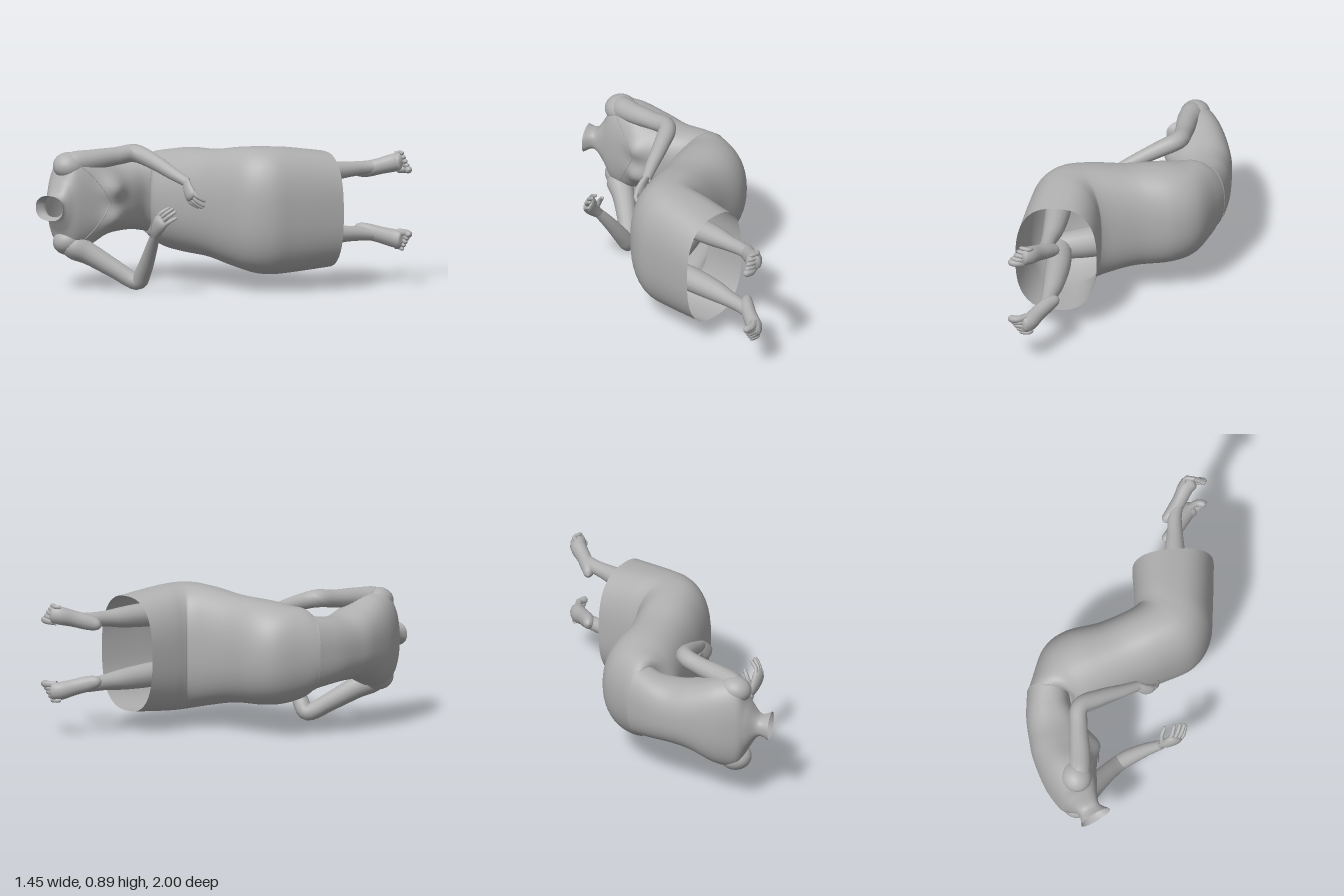
import * as THREE from 'three';

const V = (x, y, z) => new THREE.Vector3(x, y, z);
const MID = 0.525; // height of the body's plane of symmetry

// smooth interpolation through a list of equal-length rows
function rowAt(rows, u) {
  const i = Math.min(Math.floor(u), rows.length - 2), t = u - i;
  const r = k => rows[Math.max(0, Math.min(rows.length - 1, k))];
  return rows[i].map((_, k) => {
    const a = r(i - 1)[k], b = r(i)[k], c = r(i + 1)[k], d = r(i + 2)[k];
    return b + 0.5 * t * (c - a + t * (2 * a - 5 * b + 4 * c - d + t * (3 * (b - c) + d - a)));
  });
}

// grid of rings closed around, open at the ends
function ringSurface(point, rings, sides) {
  const pos = [], idx = [];
  for (let i = 0; i <= rings; i++)
    for (let j = 0; j < sides; j++) pos.push(...point(i / rings, j / sides * Math.PI * 2).toArray());
  for (let i = 0; i < rings; i++)
    for (let j = 0; j < sides; j++) {
      const a = i * sides + j, b = i * sides + (j + 1) % sides;
      idx.push(a, b, a + sides, b, b + sides, a + sides);
    }
  const g = new THREE.BufferGeometry();
  g.setAttribute('position', new THREE.Float32BufferAttribute(pos, 3));
  g.setIndex(idx);
  g.computeVertexNormals();
  return g;
}

// body section row: back x, back z, front x, front z, low y, high y
function bodyPoint(rows, u, angle, power, grow = 0) {
  const [ax, az, bx, bz, lo, hi] = rowAt(rows, u);
  const pw = v => Math.sign(v) * Math.abs(v) ** (2 / power);
  const c = pw(Math.cos(angle)) * (1 + grow) / 2, s = pw(Math.sin(angle)) * (1 + grow) / 2;
  return V((ax + bx) / 2 + (bx - ax) * c, (lo + hi) / 2 + (hi - lo) * s, (az + bz) / 2 + (bz - az) * c);
}

// tapered limb through points [x, y, z, radius], optionally squashed along a normal
function limb(points, normal = null, flat = 1, sides = 14) {
  const n = points.length - 1, rings = n * 5;
  const centre = u => V(...rowAt(points, u).slice(0, 3));
  const ref = normal || V(0.31, 0.2, 0.93).normalize();
  return ringSurface((t, a) => {
    const u = t * n, p = centre(u);
    const dir = centre(Math.min(n, u + 0.05)).sub(centre(Math.max(0, u - 0.05))).normalize();
    const side = dir.clone().cross(ref).normalize(), up = side.clone().cross(dir);
    const r = Math.max(0.001, rowAt(points, u)[3]);
    return p.addScaledVector(side, r * Math.cos(a)).addScaledVector(up, r * flat * Math.sin(a));
  }, rings, sides);
}

const TORSO = [
  [-0.54, 0.995, -0.345, 0.935, 0.445, 0.60],
  [-0.54, 0.92, -0.40, 0.89, 0.46, 0.595],
  [-0.60, 0.865, -0.40, 0.83, 0.37, 0.69],
  [-0.645, 0.81, -0.385, 0.76, 0.25, 0.81],
  [-0.70, 0.68, -0.365, 0.64, 0.245, 0.82],
  [-0.73, 0.50, -0.35, 0.52, 0.31, 0.77],
  [-0.725, 0.37, -0.38, 0.37, 0.325, 0.735],
  [-0.71, 0.23, -0.42, 0.24, 0.32, 0.74],
  [-0.67, 0.08, -0.42, 0.17, 0.30, 0.76]
];
const SKIRT = [
  [-0.675, 0.10, -0.41, 0.18, 0.30, 0.76],
  [-0.62, 0.00, -0.38, 0.225, 0.25, 0.80],
  [-0.51, -0.17, -0.33, 0.25, 0.21, 0.82],
  [-0.36, -0.24, -0.22, 0.23, 0.19, 0.84],
  [-0.15, -0.24, 0.00, 0.18, 0.18, 0.85],
  [0.02, -0.265, 0.20, 0.145, 0.145, 0.88],
  [0.10, -0.29, 0.40, 0.09, 0.115, 0.895],
  [0.11, -0.31, 0.52, -0.03, 0.105, 0.895],
  [0.12, -0.38, 0.575, -0.20, 0.11, 0.885],
  [0.15, -0.565, 0.65, -0.49, 0.13, 0.85]
];

// torso with the bust swelling out of the chest
function torsoPoint(u, angle, grow = 0) {
  const p = bodyPoint(TORSO, u, angle, 2.4, grow);
  const high = (u - 4.9) / 0.65, out = (Math.abs(p.y - MID) - 0.105) / 0.08;
  p.x += 0.045 * Math.max(0, Math.cos(angle)) * Math.exp(-high * high - out * out);
  return p;
}
const skirtPoint = (u, angle, grow = 0) => bodyPoint(SKIRT, u, angle, 2.05 + 0.06 * u, grow);

export function createModel() {
  const grey = new THREE.MeshStandardMaterial({ color: 0xb0b0b0, side: THREE.DoubleSide });
  grey.name = 'plain grey';
  const model = new THREE.Group();
  model.name = 'recliningFigure';
  const add = (name, geometry, parent = model) => {
    const m = new THREE.Mesh(geometry, grey);
    m.name = name;
    parent.add(m);
    return m;
  };

  // body and dress
  add('torso', ringSurface((t, a) => torsoPoint(t * (TORSO.length - 1), a), 80, 72));
  add('skirt', ringSurface((t, a) => skirtPoint(t * (SKIRT.length - 1), a), 60, 48));
  add('waistSeam', ringSurface((t, a) => skirtPoint(t * 0.25, a, 0.02 * Math.sin(t * Math.PI)), 6, 48));
  for (const side of [1, -1]) {
    const shoulder = add('shoulder', new THREE.SphereGeometry(1, 28, 20));
    shoulder.position.set(-0.515, MID + side * 0.235 + 0.003, 0.755);
    shoulder.scale.set(0.095, 0.085, 0.105);
    shoulder.rotation.z = side * -0.25;
  }

  // V-shaped neckline edge lying on the chest
  const neckline = [];
  for (let i = -12; i <= 12; i++) {
    const k = Math.abs(i) / 12;
    neckline.push(torsoPoint(4.6 - 2 * k, Math.sign(i) * k * 1.35, 0.003));
  }
  add('neckline', new THREE.TubeGeometry(new THREE.CatmullRomCurve3(neckline), 60, 0.003, 6));

  // hand: palm, four curled fingers and a thumb
  function hand(name, wrist, dir, across, size) {
    const g = new THREE.Group();
    g.name = name;
    const front = V(0, 0, 1);
    const at = (d, s, z) => wrist.clone().addScaledVector(dir, d * size).addScaledVector(across, s * size).add(V(0, 0, z * size)).toArray();
    add('palm', limb([[...at(-0.02, 0, 0), 0.028], [...at(0.04, 0, 0.012), 0.042 * size],
      [...at(0.1, 0, 0.015), 0.05 * size], [...at(0.125, 0, 0.008), 0.036 * size], [...at(0.13, 0, 0.006), 0]], front, 0.55), g);
    for (let i = 0; i < 4; i++) {
      const s = (i - 1.5) * 0.024, len = [0.075, 0.095, 0.09, 0.07][i];
      add('finger', limb([[...at(0.1, s, 0.012), 0.014], [...at(0.1 + len * 0.5, s * 1.1, 0.005), 0.013],
        [...at(0.1 + len, s * 1.15, -0.035), 0.01], [...at(0.105 + len, s * 1.15, -0.042), 0]], null, 1, 8), g);
    }
    add('thumb', limb([[...at(0.03, 0.025, 0.005), 0.017], [...at(0.07, 0.055, -0.02), 0.014],
      [...at(0.11, 0.058, -0.05), 0.01], [...at(0.115, 0.058, -0.055), 0]], null, 1, 8), g);
    model.add(g);
  }

  // arms
  add('leftArm', limb([[-0.53, 0.765, 0.80, 0.04], [-0.50, 0.78, 0.74, 0.072], [-0.462, 0.793, 0.62, 0.066],
    [-0.43, 0.808, 0.45, 0.056], [-0.39, 0.82, 0.335, 0.056], [-0.25, 0.775, 0.29, 0.049],
    [-0.1, 0.715, 0.26, 0.039], [0.0, 0.675, 0.235, 0.03]]));
  hand('leftHand', V(0.0, 0.675, 0.235), V(0.62, -0.78, 0).normalize(), V(-0.78, -0.62, 0).normalize(), 0.95);
  add('rightArm', limb([[-0.53, 0.31, 0.80, 0.04], [-0.48, 0.265, 0.75, 0.078], [-0.41, 0.215, 0.67, 0.069],
    [-0.29, 0.125, 0.565, 0.058], [-0.18, 0.055, 0.485, 0.052], [-0.11, 0.13, 0.485, 0.05],
    [-0.01, 0.265, 0.51, 0.04], [0.075, 0.375, 0.54, 0.03]]));
  hand('rightHand', V(0.08, 0.38, 0.54), V(0.64, 0.77, 0).normalize(), V(-0.77, 0.64, 0).normalize(), 1.1);

  // legs, mirrored about the body's plane of symmetry
  for (const side of [1, -1]) {
    const leg = new THREE.Group();
    leg.name = side > 0 ? 'leftLeg' : 'rightLeg';
    const p = (x, y, z, r) => [x, MID + side * (y - MID), z, r];
    const sole = V(-0.77, 0, -0.63).normalize();
    add('thigh', limb([p(-0.3, 0.66, 0, 0.09), p(0.05, 0.69, -0.06, 0.1), p(0.34, 0.71, -0.1, 0.08), p(0.42, 0.71, -0.12, 0.01)]), leg);
    add('shin', limb([p(0.35, 0.71, -0.1, 0.065), p(0.375, 0.715, -0.3, 0.078), p(0.412, 0.72, -0.53, 0.067),
      p(0.445, 0.725, -0.67, 0.05), p(0.468, 0.73, -0.77, 0.044), p(0.50, 0.735, -0.84, 0.04), p(0.55, 0.745, -0.90, 0.03)]), leg);
    add('foot', limb([p(0.392, 0.70, -0.765, 0), p(0.41, 0.703, -0.777, 0.032), p(0.46, 0.717, -0.807, 0.049),
      p(0.525, 0.74, -0.873, 0.051), p(0.582, 0.762, -0.94, 0.057), p(0.625, 0.768, -0.96, 0.05), p(0.64, 0.768, -0.965, 0)], sole, 0.88), leg);
    for (let i = 0; i < 5; i++) {
      const y = 0.72 + i * 0.024, r = [0.022, 0.016, 0.015, 0.014, 0.013][i], k = i * 0.017;
      add('toe', limb([p(0.60 - k * 0.5, y, -0.95, r), p(0.655 - k, y + 0.004, -0.972, r),
        p(0.7 - k, y + 0.007, -0.957, r), p(0.715 - k, y + 0.008, -0.947, 0)], null, 1, 8), leg);
    }
    model.add(leg);
  }
  return model;
}
